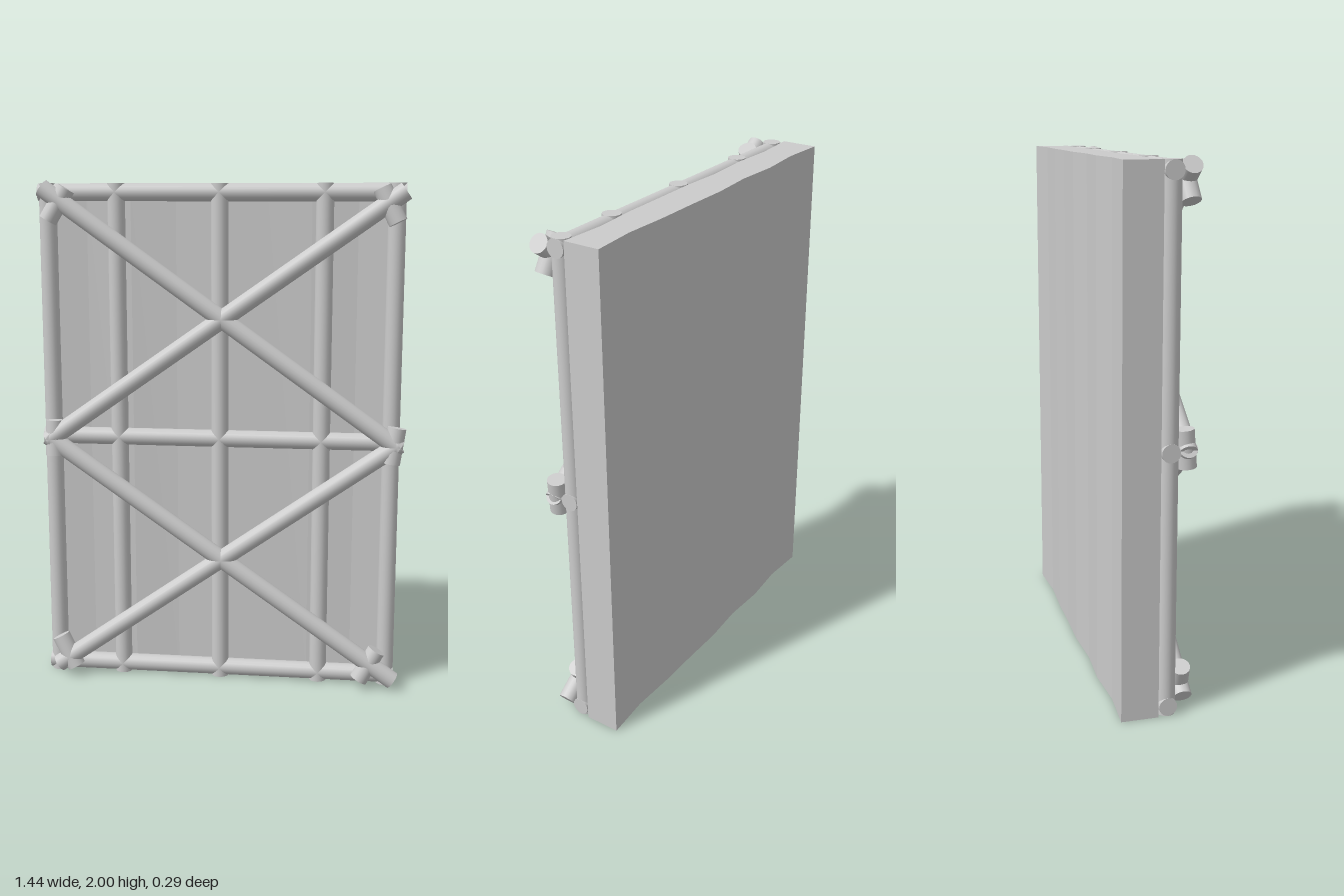
import * as THREE from 'three';

export function createModel() {
  const model = new THREE.Group();
  const material = new THREE.MeshStandardMaterial({ color: 0xcccccc });
  const H = 1.985, LEFT = -0.72, RIGHT = 0.693;

  // Straight round tube between two points
  function tube(name, a, b, radius = 0.035) {
    const start = new THREE.Vector3(...a), end = new THREE.Vector3(...b);
    const dir = end.clone().sub(start);
    const mesh = new THREE.Mesh(new THREE.CylinderGeometry(radius, radius, dir.length(), 20), material);
    mesh.position.copy(start).add(end).multiplyScalar(0.5);
    mesh.quaternion.setFromUnitVectors(new THREE.Vector3(0, 1, 0), dir.normalize());
    mesh.name = name;
    model.add(mesh);
  }

  // Wavy slab: eight vertical strips whose thickness pinches in and out
  const back = [0.142, 0.13, 0.142, 0.132, 0.142, 0.138, 0.137, 0.129, 0.141];
  const front = [0.002, 0.013, 0.003, 0.012, 0.003, 0.004, 0.004, 0.014, 0.002];
  const xAt = (i) => LEFT + ((RIGHT - LEFT) * i) / 8;
  const outline = [
    ...front.map((d, i) => new THREE.Vector2(xAt(i), d)),
    ...back.map((d, i) => new THREE.Vector2(xAt(i), d)).reverse(),
  ];
  const slab = new THREE.ExtrudeGeometry(new THREE.Shape(outline), { depth: H, bevelEnabled: false });
  slab.rotateX(-Math.PI / 2);
  const panel = new THREE.Mesh(slab, material);
  panel.name = 'panel';
  model.add(panel);

  // Frame grid lying against the panel
  const zGrid = 0.035;
  for (const x of [-0.685, -0.415, -0.012, 0.389, 0.659]) {
    tube('verticalBar', [x, 0, zGrid], [x, H, zGrid], 0.034);
  }
  for (const y of [0.036, 0.994, 1.951]) {
    tube('horizontalBar', [LEFT, y, zGrid], [RIGHT, y, zGrid], 0.034);
  }

  // Two crossed pairs of braces in front of the grid
  const zBrace = 0.105;
  const braces = [
    [-0.69, 1.967, 0.69, 0.985],
    [-0.69, 0.985, 0.69, 1.955],
    [-0.69, 1.0, 0.69, 0.037],
    [-0.67, 0.045, 0.69, 1.0],
  ];
  for (const [x1, y1, x2, y2] of braces) {
    tube('diagonalBrace', [x1, y1, zBrace], [x2, y2, zBrace]);
  }

  // Short coupler sleeves across the brace ends: x, y, lean from vertical
  const couplers = [
    [-0.632, 1.905, 0.53],
    [0.632, 1.902, -0.45],
    [-0.665, 0.995, 0],
    [0.67, 0.995, 0.15],
    [-0.632, 0.1, -0.48],
    [0.59, 0.098, 0.52],
  ];
  for (const [x, y, lean] of couplers) {
    const dx = Math.sin(lean) * 0.07, dy = Math.cos(lean) * 0.07;
    tube('coupler', [x - dx, y - dy, 0.108], [x + dx, y + dy, 0.097], 0.036);
  }

  return model;
}
